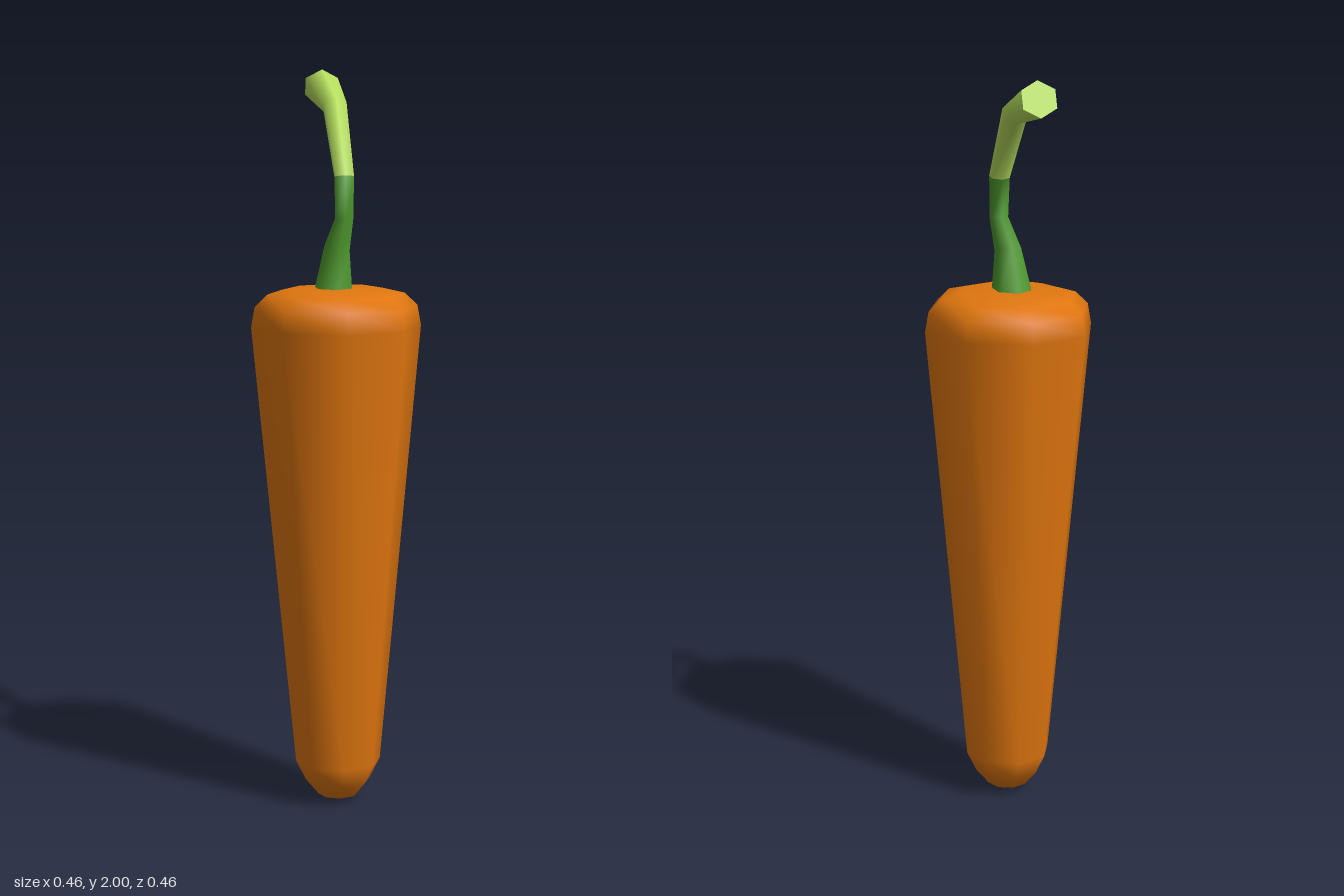
import * as THREE from 'three';

const SIDES = 6;

// Stem rings: [reach along the bend, height, sideways, lean in degrees, in-plane radius, sideways radius]
const RINGS = [
  [0.0, 1.40, -0.01, 0, 0.071, 0.056],
  [-0.01, 1.53, 0.0, -15, 0.04, 0.036],
  [-0.048, 1.61, 0.014, -8, 0.023, 0.026],
  [-0.034, 1.72, 0.016, 10, 0.028, 0.028],
  [0.084, 1.9, 0.008, 48, 0.034, 0.034],
  [0.258, 1.954, -0.006, 20 + 48, 0.049, 0.051],
];
const COLOUR_CHANGE = 3; // ring where the dark green ends

// Tapered eight-sided root with rounded shoulder and tip
function makeRoot(material) {
  const profile = [
    [0, 0], [0.055, 0.018], [0.09, 0.06], [0.117, 0.115],
    [0.23, 1.32], [0.22, 1.375], [0.185, 1.408], [0.125, 1.422], [0, 1.425],
  ].map(([r, y]) => new THREE.Vector2(r, y));
  const geometry = new THREE.LatheGeometry(profile, 8);
  // The tip drifts slightly off centre
  const pos = geometry.attributes.position;
  for (let i = 0; i < pos.count; i++) {
    pos.setX(i, pos.getX(i) + 0.008 * Math.max(0, 1 - pos.getY(i) / 1.32));
  }
  const root = new THREE.Mesh(geometry, material);
  root.name = 'root';
  return root;
}

// Bent stalk lofted through the rings, leaning diagonally towards +x, -z
function makeStem(darkGreen, lightGreen) {
  const reach = new THREE.Vector3(1, 0, -1).normalize();
  const side = new THREE.Vector3(1, 0, 1).normalize();
  const up = new THREE.Vector3(0, 1, 0);
  const vertices = [];
  const index = [];
  for (const [d, y, p, lean, rn, rp] of RINGS) {
    const a = THREE.MathUtils.degToRad(lean);
    const normal = reach.clone().multiplyScalar(Math.cos(a)).addScaledVector(up, -Math.sin(a));
    for (let i = 0; i < SIDES; i++) {
      const t = (i / SIDES) * Math.PI * 2;
      const v = new THREE.Vector3()
        .addScaledVector(reach, d).addScaledVector(up, y).addScaledVector(side, p)
        .addScaledVector(normal, Math.cos(t) * rn)
        .addScaledVector(side, -Math.sin(t) * rp);
      vertices.push(v.x, v.y, v.z);
    }
  }
  for (let r = 0; r < RINGS.length - 1; r++) {
    for (let i = 0; i < SIDES; i++) {
      const a = r * SIDES + i;
      const b = r * SIDES + ((i + 1) % SIDES);
      index.push(a, b, b + SIDES, a, b + SIDES, a + SIDES);
    }
  }
  // Flat cut end with its own vertices, so the edge stays sharp
  const last = (RINGS.length - 1) * SIDES;
  const cap = vertices.length / 3;
  vertices.push(...vertices.slice(last * 3));
  for (let i = 1; i < SIDES - 1; i++) index.push(cap, cap + i, cap + i + 1);

  const geometry = new THREE.BufferGeometry();
  geometry.setAttribute('position', new THREE.Float32BufferAttribute(vertices, 3));
  geometry.setIndex(index);
  geometry.computeVertexNormals();
  const split = COLOUR_CHANGE * SIDES * 6;
  geometry.addGroup(0, split, 0);
  geometry.addGroup(split, index.length - split, 1);
  const stem = new THREE.Mesh(geometry, [darkGreen, lightGreen]);
  stem.name = 'stem';
  return stem;
}

export function createModel() {
  const material = (name, color) => {
    const m = new THREE.MeshStandardMaterial({ color });
    m.name = name;
    return m;
  };
  const orange = material('orange', 0xe0760f);
  const darkGreen = material('dark green', 0x4f9a2e);
  const lightGreen = material('light green', 0xb8e15e);

  const group = new THREE.Group();
  group.name = 'carrot';
  group.add(makeRoot(orange), makeStem(darkGreen, lightGreen));
  return group;
}
